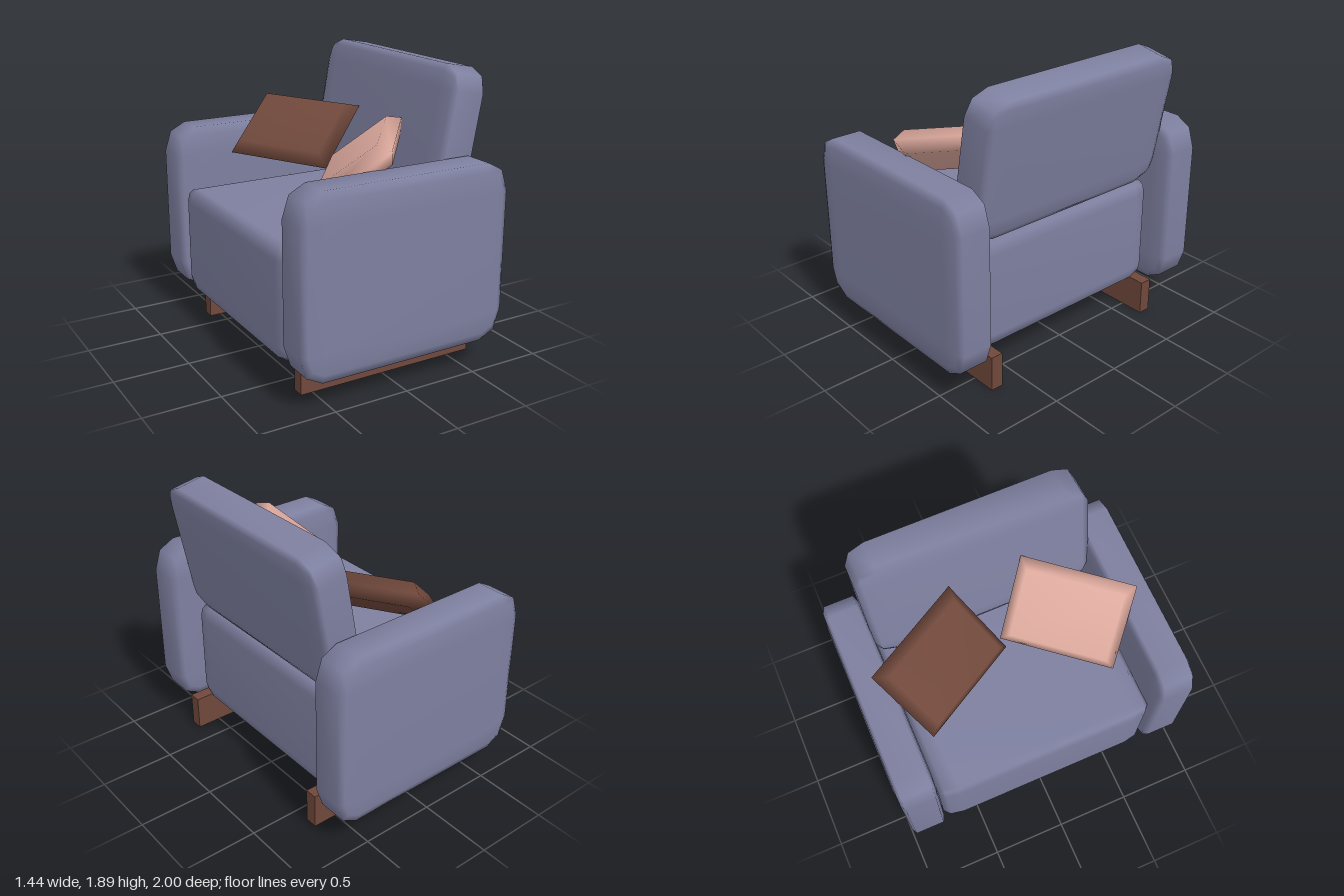
import * as THREE from 'three';
import { mergeVertices } from 'three/addons/utils/BufferGeometryUtils.js';

// Closed smooth solid from stacked rings of equal point count, bottom ring first along z
function loft(rings) {
  const n = rings[0].length;
  const positions = rings.flat(2);
  const index = [];
  for (let k = 0; k < rings.length - 1; k++) {
    for (let i = 0; i < n; i++) {
      const a = k * n + i, b = k * n + (i + 1) % n;
      index.push(a, b, b + n, a, b + n, a + n);
    }
  }
  const top = (rings.length - 1) * n;
  for (let i = 1; i < n - 1; i++) {
    index.push(0, i + 1, i, top, top + i, top + i + 1);
  }
  const geo = new THREE.BufferGeometry();
  geo.setAttribute('position', new THREE.Float32BufferAttribute(positions, 3));
  geo.setIndex(index);
  const merged = mergeVertices(geo, 1e-4);
  merged.computeVertexNormals();
  return merged;
}

// Box with two-segment elliptical rounding, its own radius along each axis
function softBox([w, h, d], [rx, ry, rz]) {
  const rings = [];
  for (const [side, lat] of [[-1, -90], [-1, -45], [-1, 0], [1, 0], [1, 45], [1, 90]]) {
    const phi = THREE.MathUtils.degToRad(lat);
    const z = side * (d / 2 - rz) + rz * Math.sin(phi);
    const ring = [];
    [[1, 1], [-1, 1], [-1, -1], [1, -1]].forEach(([sx, sy], q) => {
      for (let j = 0; j < 3; j++) {
        const t = (q + j / 2) * Math.PI / 2;
        ring.push([
          sx * (w / 2 - rx) + rx * Math.cos(phi) * Math.cos(t),
          sy * (h / 2 - ry) + ry * Math.cos(phi) * Math.sin(t),
          z,
        ]);
      }
    });
    rings.push(ring);
  }
  return loft(rings);
}

// Pillow: flat faces with a bevel out to a middle seam
function pillowGeometry(w, h, thickness, inset) {
  return loft([[-1, inset], [0, 0], [1, inset]].map(([s, i]) => {
    const x = w / 2 - i, y = h / 2 - i;
    const z = s * thickness / 2;
    return [[x, y, z], [-x, y, z], [-x, -y, z], [x, -y, z]];
  }));
}

export function createModel() {
  const model = new THREE.Group();
  const material = (name, color) => {
    const m = new THREE.MeshStandardMaterial({ color });
    m.name = name;
    return m;
  };
  const fabric = material('greyBlueFabric', 0x7e80a0);
  const brown = material('brown', 0x70483b);
  const pink = material('pink', 0xdeaa9e);

  const add = (name, geo, mat, x, y, z) => {
    const mesh = new THREE.Mesh(geo, mat);
    mesh.name = name;
    mesh.position.set(x, y, z);
    model.add(mesh);
    return mesh;
  };

  // Seat block, its rear set in from the ends of the armrests
  add('seat', softBox([1.255, 0.75, 1.49], [0.06, 0.1, 0.13]), fabric, -0.0625, 0.577, 0);

  // Backrest, leaning backwards
  const back = add('backrest', softBox([0.25, 0.917, 1.515], [0.028, 0.15, 0.15]), fabric, 0.526, 1.423, 0);
  back.rotation.z = THREE.MathUtils.degToRad(-10.5);

  // Armrests and the wooden runners below
  const armGeo = softBox([1.44, 1.155, 0.255], [0.15, 0.19, 0.03]);
  const runnerGeo = new THREE.BoxGeometry(1.245, 0.235, 0.083);
  for (const [side, armZ, runnerZ] of [['left', 0.8725, 0.684], ['right', -0.8725, -0.649]]) {
    add(side + 'Armrest', armGeo, fabric, 0, 0.767, armZ);
    add(side + 'Runner', runnerGeo, brown, 0.0435, 0.1175, runnerZ);
  }

  // Loose pillows: up = slope direction, along = length direction
  const pillowGeo = pillowGeometry(0.75, 0.56, 0.15, 0.06);
  const addPillow = (name, mat, center, up, along) => {
    const u = new THREE.Vector3(...up).normalize();
    const n = new THREE.Vector3(...along).cross(u).normalize();
    const v = new THREE.Vector3().crossVectors(u, n);
    const mesh = add(name, pillowGeo, mat, ...center);
    mesh.quaternion.setFromRotationMatrix(new THREE.Matrix4().makeBasis(v, u, n));
  };
  addPillow('pinkPillow', pink, [0.012, 1.315, 0.43], [0.6, 0.617, 0.516], [-0.628, -0.054, 0.777]);
  addPillow('brownPillow', brown, [0.02, 1.33, -0.427], [0.7, 0.6, -0.39], [0.515, 0, 0.857]);

  return model;
}
